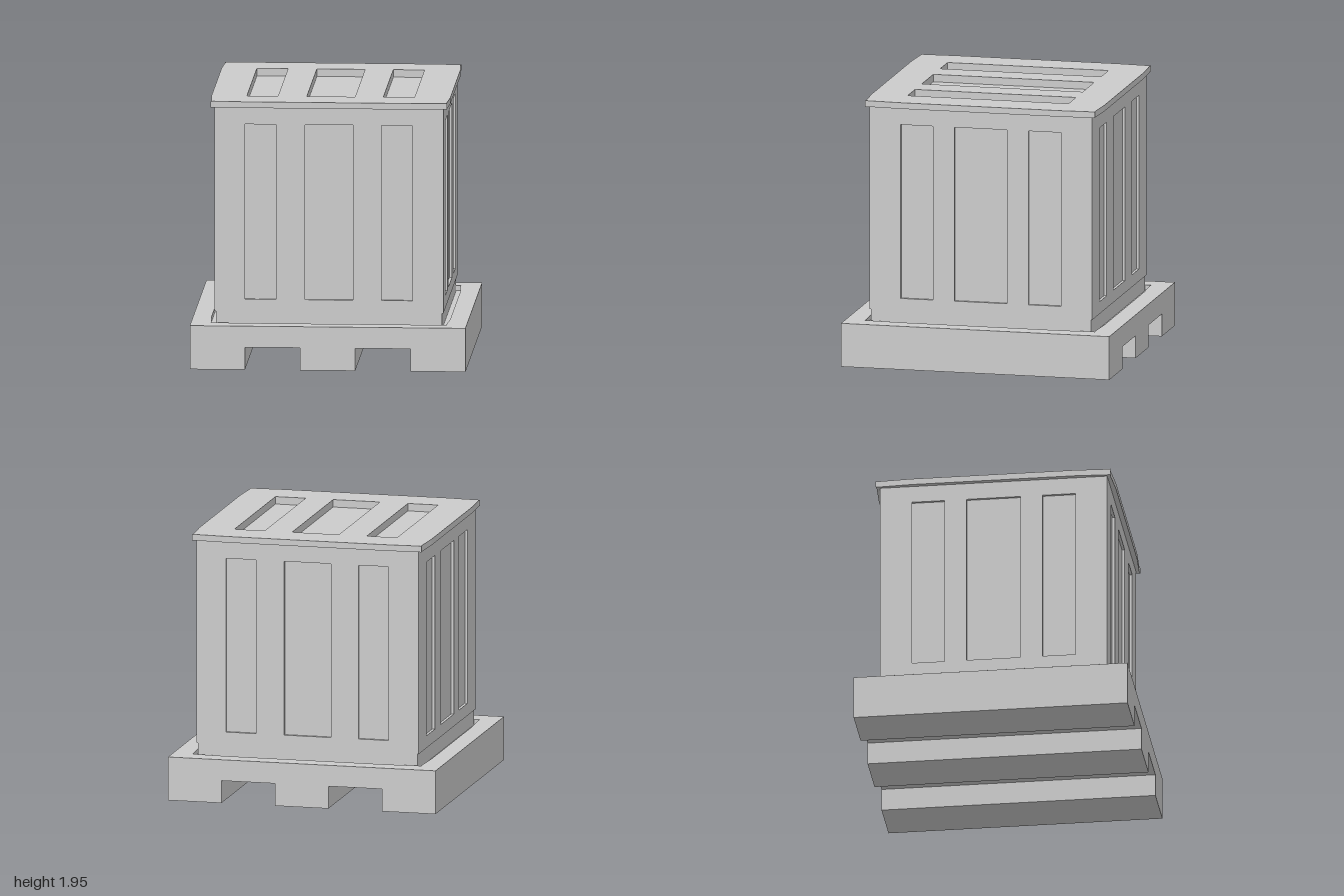
import * as THREE from 'three';

const material = new THREE.MeshStandardMaterial({ color: 0xcccccc, flatShading: true });

// Centre and width of the three slots shared by the lid and the walls
const FRONT_SLOTS = [[-0.497, 0.226], [0, 0.35], [0.493, 0.226]];
const SIDE_SLOTS = [[-0.477, 0.24], [0, 0.394], [0.477, 0.24]];

function rect(x0, y0, x1, y1) {
  return [[x0, y0], [x1, y0], [x1, y1], [x0, y1]].map(([x, y]) => new THREE.Vector2(x, y));
}

function slots(list, y0, y1) {
  return list.map(([c, w]) => rect(c - w / 2, y0, c + w / 2, y1));
}

// Slightly bowed square shared by the lid and the pallet recess
function bowedSquare() {
  const quarter = [[0.866, -0.6], [0.866, 0.6], [0.853, 0.835], [0.857, 0.857], [0.835, 0.853]];
  const points = [];
  for (let i = 0; i < 4; i++) {
    const turn = (i * Math.PI) / 2;
    for (const [x, y] of quarter) {
      points.push(new THREE.Vector2(x, y).rotateAround(new THREE.Vector2(), turn));
    }
  }
  return points;
}

function plate(outline, holes, depth) {
  const shape = new THREE.Shape(outline);
  shape.holes = holes.map((h) => new THREE.Path(h));
  return new THREE.ExtrudeGeometry(shape, { depth, bevelEnabled: false });
}

export function createModel() {
  const model = new THREE.Group();
  const add = (name, geometry, parent = model) => {
    const mesh = new THREE.Mesh(geometry, material);
    mesh.name = name;
    parent.add(mesh);
    return mesh;
  };
  // Horizontal plate from y0 to y1
  const addFlat = (name, outline, holes, y0, y1) =>
    add(name, plate(outline, holes, y1 - y0).rotateX(-Math.PI / 2).translate(0, y0, 0));
  const addBox = (name, half, y0, y1) =>
    add(name, new THREE.BoxGeometry(half * 2, y1 - y0, half * 2).translate(0, (y0 + y1) / 2, 0));

  // Pallet: three runners with two fork channels, and a raised rim on top
  const recessY = 0.285;
  const profile = [
    [-1, 0], [-0.6, 0], [-0.6, 0.165], [-0.2, 0.165], [-0.2, 0], [0.2, 0],
    [0.2, 0.165], [0.6, 0.165], [0.6, 0], [1, 0], [1, recessY], [-1, recessY],
  ].map(([x, y]) => new THREE.Vector2(x, y));
  add('palletRunners', plate(profile, [], 2).translate(0, 0, -1));
  addFlat('palletRim', rect(-1, -1, 1, 1), [bowedSquare()], recessY, 0.32);

  // Crate foot and inner core, whose faces are the floors of the slots
  addBox('crateFoot', 0.82, recessY, 0.4);
  addBox('crateCore', 0.81, 0.4, 1.89);

  // Four walls with recessed panels
  for (let i = 0; i < 4; i++) {
    const isSide = i % 2 === 1;
    const half = isSide ? 0.81 : 0.83;
    const holes = slots(isSide ? SIDE_SLOTS : FRONT_SLOTS, 0.49, 1.775);
    const pivot = new THREE.Group();
    pivot.name = ['frontWall', 'leftWall', 'backWall', 'rightWall'][i];
    pivot.rotation.y = (i * Math.PI) / 2;
    add('panelledWall', plate(rect(-half, 0.4, half, 1.9), holes, 0.02).translate(0, 0, 0.81), pivot);
    model.add(pivot);
  }

  // Lid with three long slots, seated on a liner inside the walls
  const lidSlots = () => slots(FRONT_SLOTS, -0.6, 0.6);
  addFlat('lidLiner', rect(-0.81, -0.81, 0.81, 0.81), lidSlots(), 1.89, 1.9);
  addFlat('lid', bowedSquare(), lidSlots(), 1.9, 1.945);

  return model;
}
